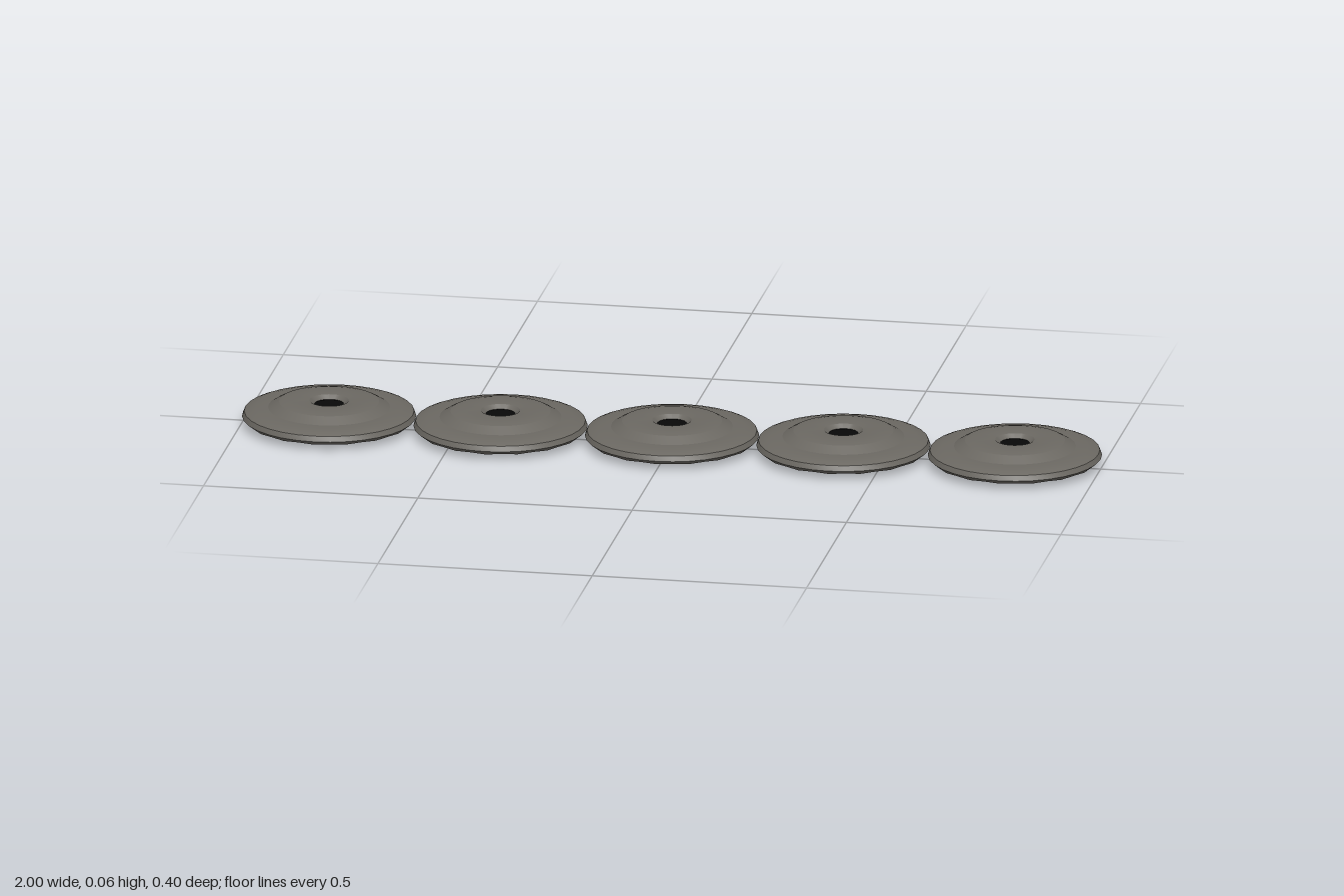
import * as THREE from 'three';
import { toCreasedNormals } from 'three/addons/utils/BufferGeometryUtils.js';

const SEGMENTS = 32;

// Revolve [radius, height] pairs, listed from the bottom up
function revolve(profile, segments = SEGMENTS, start = 0, sweep = Math.PI * 2) {
  return new THREE.LatheGeometry(profile.map(([r, y]) => new THREE.Vector2(r, y)), segments, start, sweep);
}

export function createModel() {
  const hullGrey = new THREE.MeshStandardMaterial({ color: 0x6b6862 });
  const black = new THREE.MeshStandardMaterial({ color: 0x080808 });

  // Upper hull: rim, shoulder, raised deck and the sunken hub
  const upperGeometry = toCreasedNormals(revolve([
    [0.2, 0.023], [0.195, 0.035], [0.185, 0.039], [0.168, 0.043], [0.14, 0.044],
    [0.115, 0.058], [0.1, 0.061], [0.05, 0.061], [0.045, 0.06], [0.034, 0.051], [0, 0.051],
  ]), 0.3);

  // Belly: shallow dish with a fluted edge
  const belly = revolve([[0, 0], [0.09, 0.003], [0.168, 0.009], [0.19, 0.014], [0.2, 0.023]]);
  const p = belly.attributes.position;
  const rings = 5;
  for (let i = 0; i < p.count; i++) {
    const ring = i % rings;
    const column = Math.floor(i / rings) % SEGMENTS;
    if (ring === 2 || ring === 3) p.setY(i, p.getY(i) + (column % 2 ? 0.001 : -0.001));
  }
  const bellyGeometry = toCreasedNormals(belly, 0.05);

  // Hub core: low dark dome in the sunken centre
  const coreGeometry = revolve([[0.034, 0.0515], [0.024, 0.054], [0.012, 0.055], [0, 0.0555]], 16);

  // Window panes laid on the rear slope of the deck
  const panes = 6;
  const from = Math.PI - THREE.MathUtils.degToRad(37);
  const step = THREE.MathUtils.degToRad(64) / panes;
  const paneGeometries = [];
  for (let i = 0; i < panes; i++) {
    const shift = i % 2 ? 0.002 : 0;
    const drop = shift * 0.56;
    paneGeometries.push(revolve([
      [0.134 + shift, 0.0487 - drop], [0.117 + shift, 0.0582 - drop],
    ], 2, from + i * step, step * 0.92));
  }

  const model = new THREE.Group();
  model.name = 'saucerRow';
  for (let n = -2; n <= 2; n++) {
    const saucer = new THREE.Group();
    saucer.name = `saucer${n + 3}`;
    saucer.position.x = n * 0.4;
    const add = (geometry, material, name) => {
      const mesh = new THREE.Mesh(geometry, material);
      mesh.name = name;
      saucer.add(mesh);
    };
    add(upperGeometry, hullGrey, 'upperHull');
    add(bellyGeometry, hullGrey, 'belly');
    add(coreGeometry, black, 'hubCore');
    paneGeometries.forEach((g, i) => add(g, black, `rearWindow${i + 1}`));
    model.add(saucer);
  }
  return model;
}
